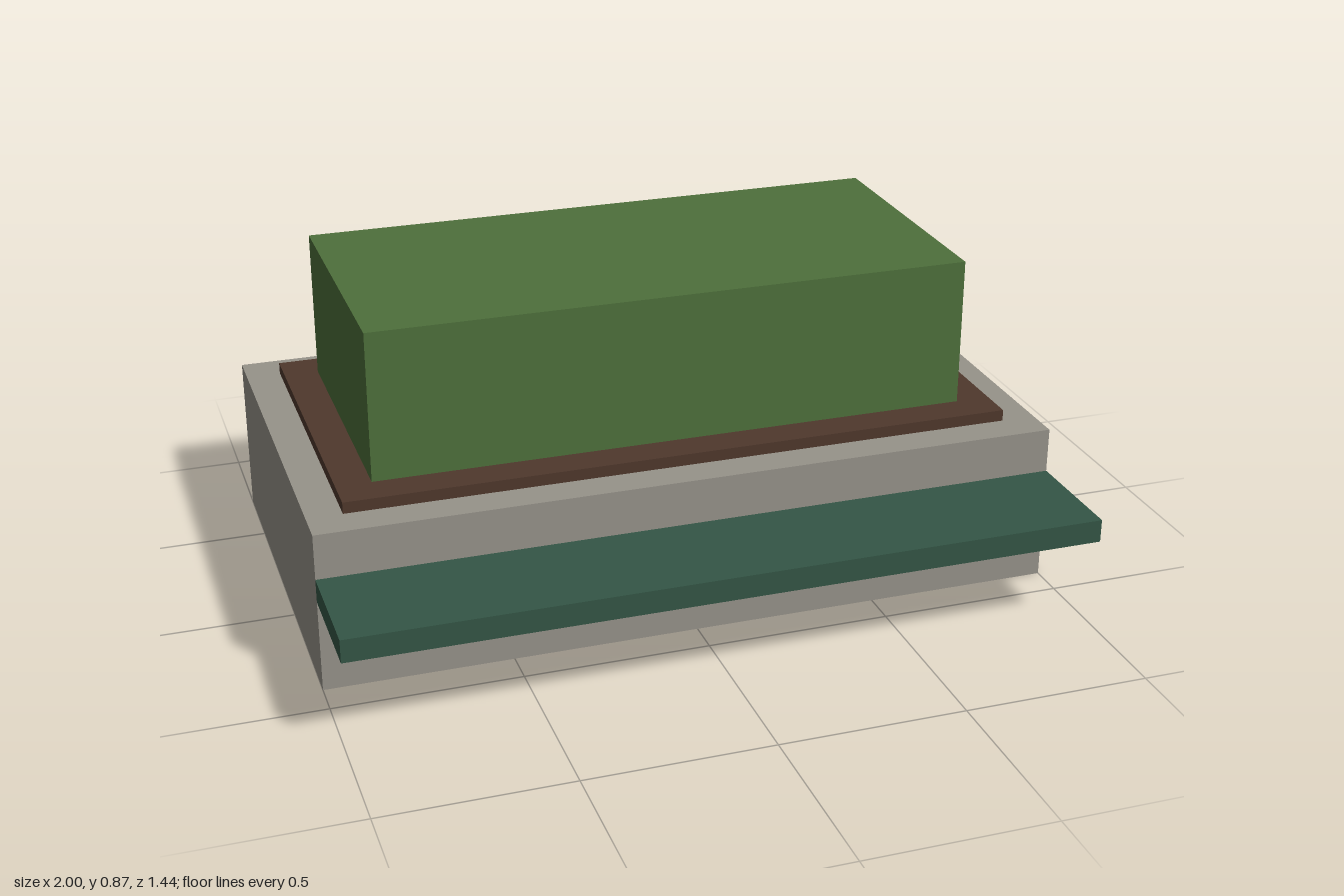
import * as THREE from 'three';

const mat = (name, color) => {
  const m = new THREE.MeshStandardMaterial({ color });
  m.name = name;
  return m;
};

export function createModel() {
  const group = new THREE.Group();
  group.name = 'planterBench';

  const stone = mat('stone', 0x97938a);
  const soil = mat('soil', 0x4f382c);
  const leaf = mat('leaf', 0x4e703b);
  const paintedWood = mat('paintedWood', 0x345646);

  // Box standing on height y, centred on x = 0
  const addBox = (name, material, width, height, depth, y, z) => {
    const mesh = new THREE.Mesh(new THREE.BoxGeometry(width, height, depth), material);
    mesh.name = name;
    mesh.position.set(0, y + height / 2, z);
    group.add(mesh);
  };

  // Planter, soil and hedge share one centre line behind the seat
  const planterZ = -0.156;
  addBox('planter', stone, 2, 0.4375, 1.125, 0, planterZ);
  addBox('soilBed', soil, 1.8125, 0.031, 0.9375, 0.4375, planterZ);
  addBox('hedge', leaf, 1.625, 0.406, 0.75, 0.4685, planterZ);

  // Bench seat cantilevered from the front wall
  addBox('benchSeat', paintedWood, 2, 0.0625, 0.3125, 0.2525, 0.5625);

  return group;
}
